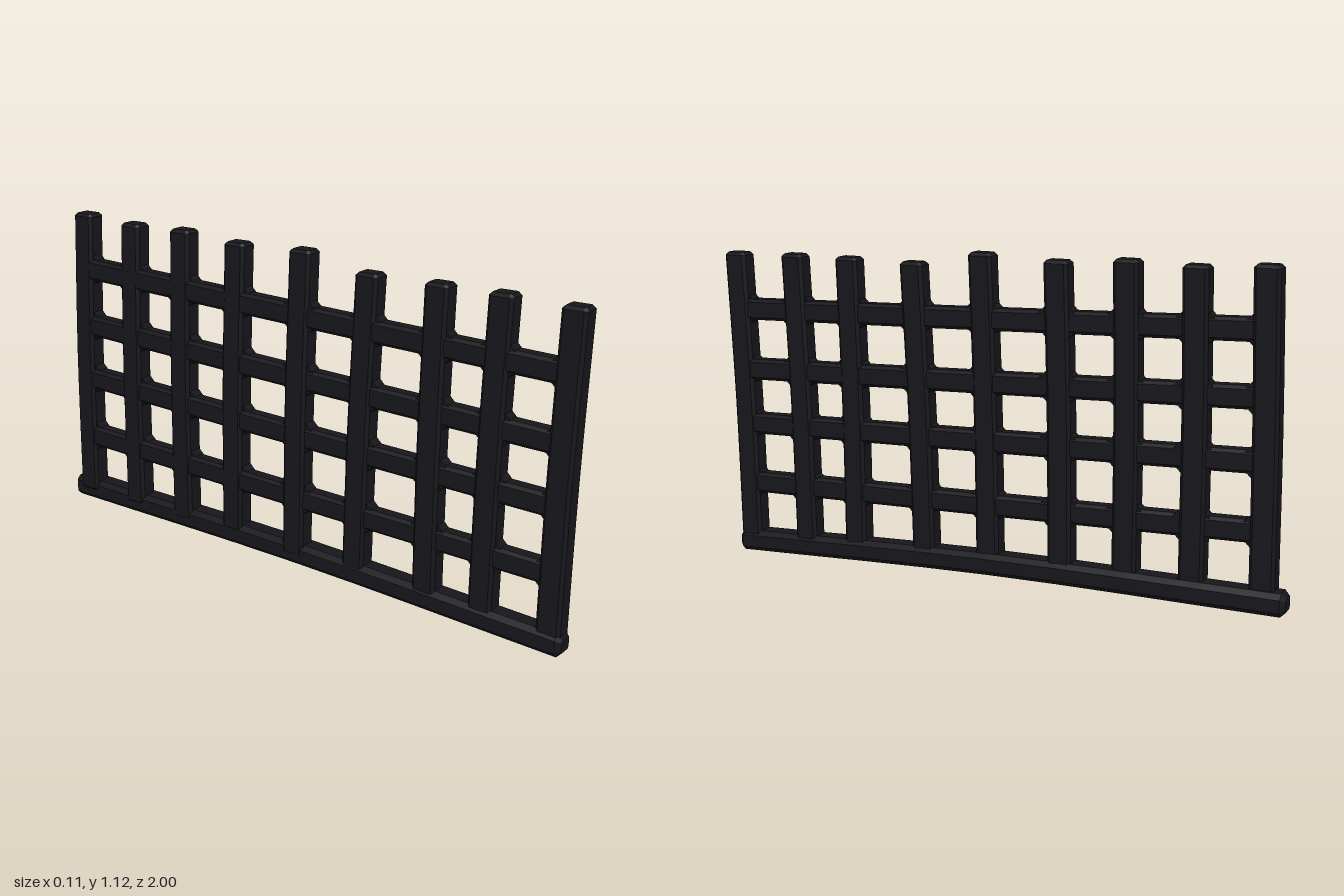
import * as THREE from 'three';

const material = new THREE.MeshStandardMaterial({ color: 0x17161b });

// Bevelled rectangular beam swept through three points; "axis" is its main direction.
function beam(name, points, axis, depth, width, bevel = 0.01) {
  const curve = new THREE.CatmullRomCurve3(points.map(p => new THREE.Vector3(...p)));
  const d = depth / 2, w = width / 2, c = bevel;
  const section = new THREE.Shape([
    [-d + c, -w], [d - c, -w], [d, -w + c], [d, w - c],
    [d - c, w], [-d + c, w], [-d, w - c], [-d, -w + c],
  ].map(p => new THREE.Vector2(...p)));
  const length = curve.getLength();
  const geometry = new THREE.ExtrudeGeometry(section, {
    depth: length - 2 * c, steps: 8, bevelEnabled: true,
    bevelThickness: c, bevelSize: c, bevelOffset: -c, bevelSegments: 1,
  });
  const pos = geometry.attributes.position;
  const centre = new THREE.Vector3();
  for (let i = 0; i < pos.count; i++) {
    const t = THREE.MathUtils.clamp((pos.getZ(i) + c) / length, 0, 1);
    curve.getPoint(t, centre);
    const u = pos.getX(i), v = pos.getY(i);
    if (axis === 'y') pos.setXYZ(i, centre.x + u, centre.y, centre.z - v);
    else pos.setXYZ(i, centre.x + u, centre.y + v, centre.z);
  }
  geometry.computeVertexNormals();
  const mesh = new THREE.Mesh(geometry, material);
  mesh.name = name;
  return mesh;
}

// Small diamond plate that softens the inner corners of a crossing.
function crossingFillet(x, y, z, front, back) {
  const r = 0.088;
  const shape = new THREE.Shape([
    new THREE.Vector2(-front, 0), new THREE.Vector2(0, -r),
    new THREE.Vector2(back, 0), new THREE.Vector2(0, r),
  ]);
  const geometry = new THREE.ExtrudeGeometry(shape, { depth: 0.042, bevelEnabled: false });
  geometry.translate(0, 0, -0.021).rotateY(Math.PI / 2);
  const mesh = new THREE.Mesh(geometry, material);
  mesh.position.set(x, y, z);
  mesh.name = 'crossingFillet';
  return mesh;
}

export function createModel() {
  const model = new THREE.Group();
  model.name = 'latticeFence';

  // Uprights: top z, bottom z, top height, sideways lean
  const uprights = [
    [0.957, 0.932, 1.066, -0.012], [0.728, 0.7, 1.071, -0.01],
    [0.517, 0.502, 1.071, -0.012], [0.273, 0.236, 1.068, -0.01],
    [0.027, 0, 1.11, -0.012], [-0.235, -0.258, 1.1, -0.006],
    [-0.464, -0.477, 1.115, -0.006], [-0.683, -0.697, 1.11, -0.004],
    [-0.897, -0.921, 1.122, -0.004],
  ];
  const baseY = z => 0.083 - 0.034 * z - 0.012 * z * z;
  for (const [zt, zb, top, x] of uprights) {
    const bottom = baseY(zb);
    model.add(beam('upright', [
      [x, bottom, zb],
      [x - 0.004, (bottom + top) / 2, (zt + zb) / 2 - 0.002],
      [x + 0.003, top, zt],
    ], 'y', 0.068, 0.081));
  }

  // Rails: height at the front end and at the back end
  const rails = [[0.255, 0.318], [0.467, 0.533], [0.66, 0.728], [0.87, 0.93]];
  for (const [yf, yb] of rails) {
    const heightAt = z => THREE.MathUtils.lerp(yf, yb, (0.94 - z) / 1.85);
    model.add(beam('rail', [
      [-0.009, heightAt(-0.91), -0.91],
      [-0.012, heightAt(0) - 0.002, 0],
      [-0.012, heightAt(0.94), 0.94],
    ], 'z', 0.056, 0.072));
    uprights.forEach(([zt, zb, top, x], i) => {
      const y = heightAt(zb);
      const z = THREE.MathUtils.lerp(zb, zt, y / top);
      model.add(crossingFillet(x - 0.002, y, z,
        i === 0 ? 0.03 : 0.088, i === uprights.length - 1 ? 0.03 : 0.088));
    });
  }

  // Sill beam along the bottom, slightly bowed and rising to the back
  model.add(beam('sill', [
    [0.01, 0.106, -1],
    [-0.004, 0.088, 0],
    [-0.014, 0.037, 0.98],
  ], 'z', 0.082, 0.074, 0.016));

  // Settle on the ground and centre
  const box = new THREE.Box3().setFromObject(model);
  const middle = box.getCenter(new THREE.Vector3());
  model.children.forEach(part => {
    part.position.x -= middle.x;
    part.position.y -= box.min.y;
    part.position.z -= middle.z;
  });
  return model;
}
